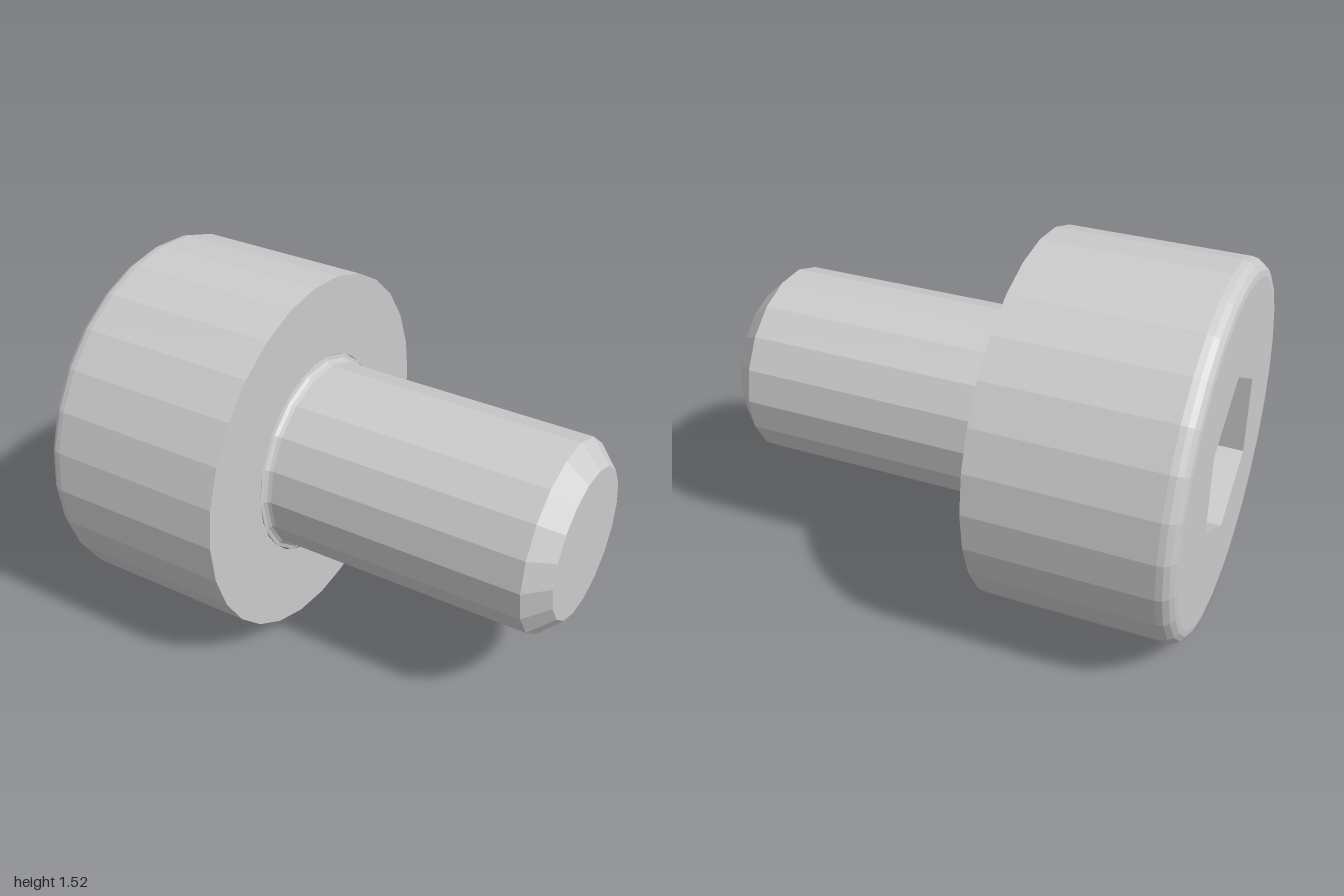
import * as THREE from 'three';

const AXIS_Y = 0.76, HEAD_SIDES = 28, SHANK_SIDES = 18;
const HEAD_R = 0.76, EDGE = 0.065, SHANK_R = 0.397, FILLET = 0.03;
const HEX_R = 0.346, HEX_DEPTH = 0.4;

const material = new THREE.MeshStandardMaterial({ color: 0xcccccc, flatShading: true });

// Part turned around the x axis; profile points are [radius, x]
function turned(name, profile, sides, start = 0) {
  const points = profile.map(([r, x]) => new THREE.Vector2(r, x));
  const geometry = new THREE.LatheGeometry(points, sides, start).rotateZ(-Math.PI / 2);
  return named(name, geometry);
}

function named(name, geometry) {
  const mesh = new THREE.Mesh(geometry, material);
  mesh.name = name;
  mesh.position.y = AXIS_Y;
  return mesh;
}

function polygon(radius, sides, start = 0) {
  return Array.from({ length: sides }, (_, i) => {
    const a = start + (i / sides) * Math.PI * 2;
    return new THREE.Vector2(radius * Math.cos(a), radius * Math.sin(a));
  });
}

// Quarter-circle profile points around (r, x)
function arc(r, x, radius, from, to, steps) {
  return Array.from({ length: steps + 1 }, (_, i) => {
    const a = from + ((to - from) * i) / steps;
    return [r + radius * Math.cos(a), x + radius * Math.sin(a)];
  });
}

export function createModel() {
  const bolt = new THREE.Group();
  bolt.name = 'socketHeadBolt';

  // Head: rounded outer rim, straight side, flat underside
  bolt.add(turned('head', [
    ...arc(HEAD_R - EDGE, -1 + EDGE, EDGE, -Math.PI / 2, 0, 4),
    [HEAD_R, -0.2],
    [SHANK_R + FILLET, -0.2],
  ], HEAD_SIDES));

  // Head face with the hexagonal opening
  const face = new THREE.Shape(polygon(HEAD_R - EDGE, HEAD_SIDES));
  face.holes.push(new THREE.Path(polygon(HEX_R, 6, Math.PI / 6)));
  const faceGeometry = new THREE.ShapeGeometry(face).rotateY(-Math.PI / 2).translate(-1, 0, 0);
  bolt.add(named('headFace', faceGeometry));

  // Hexagonal socket: floor and inward-facing walls
  bolt.add(turned('hexSocket', [
    [0, -1 + HEX_DEPTH], [HEX_R, -1 + HEX_DEPTH], [HEX_R, -1],
  ], 6, Math.PI / 6));

  // Shank: small fillet under the head, chamfered tip
  bolt.add(turned('shank', [
    [SHANK_R + FILLET, -0.205],
    ...arc(SHANK_R + FILLET, -0.2 + FILLET, FILLET, -Math.PI / 2, -Math.PI, 3),
    [SHANK_R, 0.91],
    [0.31, 1],
    [0, 1],
  ], SHANK_SIDES));

  return bolt;
}
